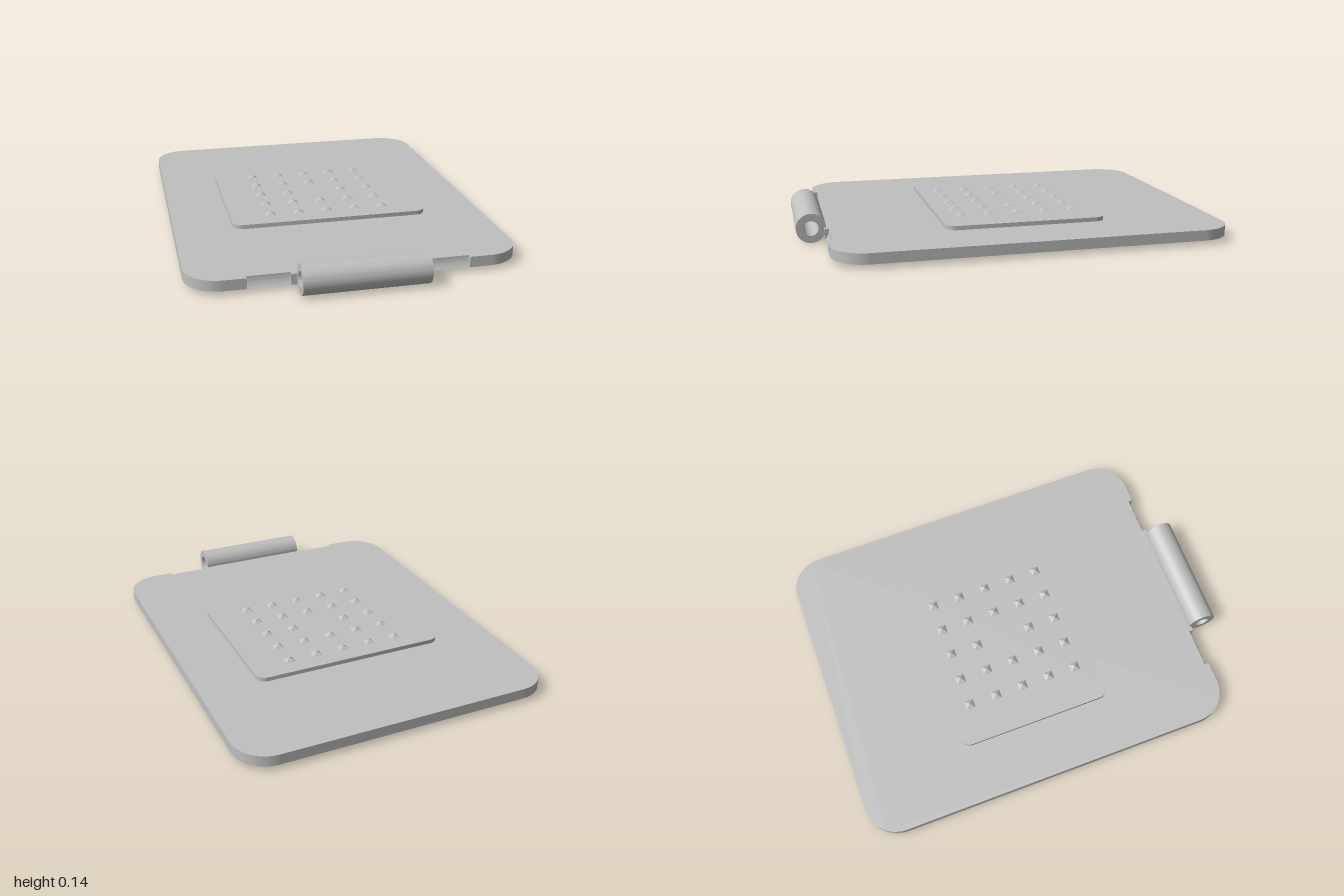
import * as THREE from 'three';
import { toCreasedNormals } from 'three/addons/utils/BufferGeometryUtils.js';

const HINGE_Y = 0.07, HINGE_Z = 0.93;   // hinge axis
const FRONT = 0.87, NOTCH_Z = 0.85;     // front edge and depth of the notches
const BOTTOM = 0.02, TOP = 0.07;        // plate thickness

// Extrudes an (x, z) outline downward from the given top height.
function slab(shape, top, depth) {
  const g = new THREE.ExtrudeGeometry(shape, { depth, bevelEnabled: false, curveSegments: 16 });
  g.rotateX(Math.PI / 2).translate(0, top, 0);
  return toCreasedNormals(g, 0.6);
}

// Extrudes a (-z, y) profile along x between x0 and x1.
function along(shape, x0, x1) {
  const g = new THREE.ExtrudeGeometry(shape, { depth: x1 - x0, bevelEnabled: false, curveSegments: 32 });
  g.rotateY(Math.PI / 2).translate(x0, 0, 0);
  return toCreasedNormals(g, 0.6);
}

// Rounded rectangle in (x, z), with optional notches [x0, x1] in the front edge.
function outline(w, z0, z1, r, notches = []) {
  const s = new THREE.Shape();
  s.moveTo(-w + r, z0);
  s.lineTo(w - r, z0);
  s.absarc(w - r, z0 + r, r, -Math.PI / 2, 0, false);
  s.lineTo(w, z1 - r);
  s.absarc(w - r, z1 - r, r, 0, Math.PI / 2, false);
  for (const [a, b] of notches) {
    s.lineTo(b, z1);
    s.lineTo(b, NOTCH_Z);
    s.lineTo(a, NOTCH_Z);
    s.lineTo(a, z1);
  }
  s.lineTo(-w + r, z1);
  s.absarc(-w + r, z1 - r, r, Math.PI / 2, Math.PI, false);
  s.lineTo(-w, z0 + r);
  s.absarc(-w + r, z0 + r, r, Math.PI, Math.PI * 1.5, false);
  return s;
}

export function createModel() {
  const model = new THREE.Group();
  model.name = 'hingedLid';
  const grey = new THREE.MeshStandardMaterial({ color: 0xc0c0c0 });
  grey.name = 'grey';
  const add = (name, geometry, parent = model) => {
    const m = new THREE.Mesh(geometry, grey);
    m.name = name;
    parent.add(m);
    return m;
  };

  // Base plate with two hinge clearances in its front edge
  const notches = [[0.31, 0.5], [-0.5, -0.31]];
  add('plate', slab(outline(0.76, -1, FRONT, 0.16, notches), TOP, TOP - BOTTOM));

  // Concave floor of each clearance, an arc around the hinge axis
  const cove = new THREE.Shape();
  const r = HINGE_Z - NOTCH_Z;
  cove.moveTo(-NOTCH_Z, BOTTOM);
  for (let i = 0; i <= 8; i++) {
    const y = TOP - (TOP - BOTTOM) * (1 - i / 8);
    cove.lineTo(-(HINGE_Z - Math.sqrt(r * r - (y - HINGE_Y) ** 2)), y);
  }
  notches.forEach(([a, b], i) => add(i ? 'rightClearance' : 'leftClearance', along(cove, a, b)));

  // Raised pad
  add('pad', slab(outline(0.48, -0.455, 0.325, 0.05), 0.09, 0.02));

  // Grid of small pyramids, empty in the middle
  const studs = new THREE.Group();
  studs.name = 'studs';
  model.add(studs);
  const pyramid = new THREE.ConeGeometry(0.0325, 0.018, 4, 1, true).rotateY(Math.PI / 4).toNonIndexed();
  pyramid.computeVertexNormals();
  for (let i = -2; i <= 2; i++) {
    for (let j = -2; j <= 2; j++) {
      if (i === 0 && j === 0) continue;
      add('stud', pyramid, studs).position.set(i * 0.1415, 0.099, -0.067 + j * 0.1415);
    }
  }

  // Hinge barrel with a through bore
  const ring = new THREE.Shape();
  ring.absarc(-HINGE_Z, HINGE_Y, 0.07, 0, Math.PI * 2, false);
  const bore = new THREE.Path();
  bore.absarc(-HINGE_Z, HINGE_Y, 0.035, 0, Math.PI * 2, true);
  ring.holes.push(bore);
  add('hingeBarrel', along(ring, -0.283, 0.283));

  return model;
}
